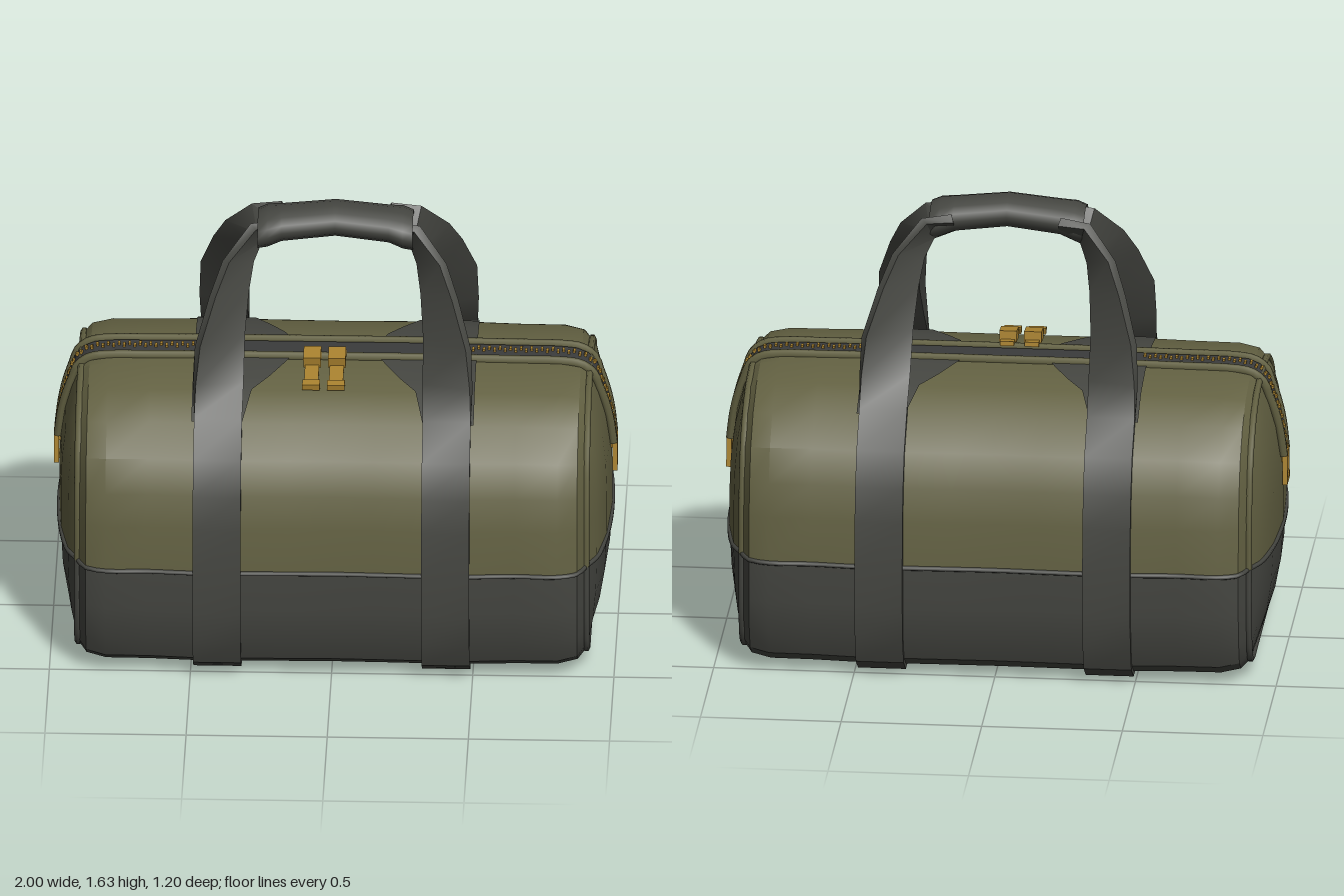
import * as THREE from 'three';
import { mergeGeometries, toCreasedNormals } from 'three/addons/utils/BufferGeometryUtils.js';

const V = (x, y, z) => new THREE.Vector3(x, y, z);
const mat = (name, color, side = THREE.FrontSide) => {
  const m = new THREE.MeshStandardMaterial({ color, side });
  m.name = name;
  return m;
};

// Skin over rows of points; faces are turned away from the middle of the bag
function skin(rows, { closed = false, caps = false, crease = 0.5 } = {}) {
  const n = rows[0].length, pts = rows.flat(), tris = [];
  for (let i = 0; i < rows.length - 1; i++) {
    for (let j = 0; j < (closed ? n : n - 1); j++) {
      const a = i * n + j, b = i * n + (j + 1) % n, c = a + n, d = b + n;
      tris.push([a, b, d], [a, d, c]);
    }
  }
  if (caps) {
    const last = (rows.length - 1) * n;
    for (let j = 1; j < n - 1; j++) tris.push([0, j + 1, j], [last, last + j, last + j + 1]);
  }
  const mid = V(0, 0.5, 0);
  const rel = pts.map((p) => p.clone().sub(mid));
  const volume = tris.reduce((s, [a, b, c]) => s + rel[a].dot(rel[b].clone().cross(rel[c])), 0);
  const index = tris.flatMap(([a, b, c]) => (volume < 0 ? [a, c, b] : [a, b, c]));
  const g = new THREE.BufferGeometry().setFromPoints(pts);
  g.setIndex(index);
  return toCreasedNormals(g, crease);
}

// Half cross-section of the bag [half width, height], bottom to top
const profile = [[0, 0.02], [0.3, 0.02], [0.46, 0.025], [0.53, 0.07], [0.565, 0.16], [0.58, 0.28], [0.58, 0.43],
  [0.572, 0.6], [0.55, 0.72], [0.505, 0.84], [0.41, 0.94], [0.28, 1.005], [0.12, 1.03], [0, 1.03]];
const SEAM = 6, TOP = profile.length - 1;

// Stations along the length [x, width scale, height scale]
const half = [[0.15, 0.993, 1], [0.31, 1, 1], [0.5, 1, 1], [0.65, 0.985, 0.997], [0.8, 0.99, 0.993], [0.87, 0.95, 0.97], [0.9, 0.85, 0.925]];
const stations = [...half.map(([x, w, h]) => [-x, w, h]).reverse(), [0, 0.988, 1], ...half];
const END = half[half.length - 1];
const bodyPoint = ([x, sw, sh], i, side) => V(x, 0.5 + (profile[i][1] - 0.5) * sh, side * profile[i][0] * sw);

// Bulging end panel
const endRow = (i) => ({ y: bodyPoint(END, i, 1).y, w: profile[i][0] * END[1] });
const yLow = endRow(0).y, yHigh = endRow(TOP).y;
function endX(y, u) {
  const t = (y - yLow) / (yHigh - yLow);
  return END[0] + 0.08 * Math.pow(Math.max(0, 1 - u * u), 0.6) * (1 - Math.pow(Math.abs(2 * t - 1), 3));
}

function topY(z) {
  const a = Math.abs(z);
  for (let i = TOP; i > SEAM; i--) {
    const [w0, y0] = profile[i], [w1, y1] = profile[i - 1];
    if (a <= w1) return y0 + (y1 - y0) * (a - w0) / (w1 - w0);
  }
  return profile[SEAM][1];
}

export function createModel() {
  const bag = new THREE.Group();
  bag.name = 'duffelBag';
  const olive = mat('olive canvas', 0x636142, THREE.DoubleSide);
  const dark = mat('dark canvas', 0x454641, THREE.DoubleSide);
  const tapeMat = mat('zipper tape', 0x3b3c3c, THREE.DoubleSide);
  const brass = mat('brass', 0xa9822f);
  const add = (name, geometry, material, parent = bag) => {
    const m = new THREE.Mesh(geometry, material);
    m.name = name;
    parent.add(m);
    return m;
  };
  const tube = (pts, r, closed = false, seg = 80) =>
    new THREE.TubeGeometry(new THREE.CatmullRomCurve3(pts, closed, 'centripetal'), seg, r, 6, closed);
  const range = (a, b) => Array.from({ length: Math.abs(b - a) + 1 }, (_, k) => a + k * Math.sign(b - a));

  // Body walls: dark base and olive top
  const wall = (from, to) => stations.map((s) => [
    ...range(from, to).map((i) => bodyPoint(s, i, 1)),
    ...range(to, from).slice(1).map((i) => bodyPoint(s, i, -1))]);
  add('baseWall', skin(wall(SEAM, 0)), dark);
  add('upperWall', skin(wall(SEAM, TOP)), olive);

  // End panels with their edge piping
  const cols = [-1, -0.85, -0.5, 0, 0.5, 0.85, 1];
  for (const sx of [-1, 1]) {
    const panel = (from, to) => skin(range(from, to).map((i) => {
      const { y, w } = endRow(i);
      return cols.map((u) => V(sx * endX(y, u), y, u * w));
    }));
    add('endPanelBase', panel(1, SEAM), dark);
    add('endPanelUpper', panel(SEAM, TOP - 1), olive);
    const edge = (from, to) => [...range(from, to).map((i) => bodyPoint(END, i, 1)),
      ...range(to, from).slice(1).map((i) => bodyPoint(END, i, -1))].map((p) => V(sx * p.x, p.y, p.z));
    add('pipingBase', tube(edge(SEAM, 0), 0.013), dark);
    add('pipingUpper', tube(edge(SEAM, TOP), 0.013), olive);
  }

  // Seam lip running around the bag
  const across = (sx) => cols.slice(1, -1).map((u) => {
    const { y, w } = endRow(SEAM);
    return V(sx * endX(y, u), y, -sx * u * w);
  });
  const side = (sz) => stations.map((s) => bodyPoint(s, SEAM, sz));
  add('seamLip', tube([...side(1), ...across(1), ...side(-1).reverse(), ...across(-1)], 0.009, true, 160), dark);

  // Dark reinforcement patches on top
  const inner = [[0, 0.13], [0.05, 0.15], [0.12, 0.18], [0.2, 0.23], [0.28, 0.29], [0.41, 0.33]];
  const patchRows = [...inner.slice(1).reverse().map(([z, x]) => [-z, x]), ...inner];
  for (const sx of [-1, 1]) {
    add('topPatch', skin(patchRows.map(([z, x]) => [x, 0.32, 0.5].map((px) => V(sx * px, topY(z) + 0.006, z)))), dark);
  }

  // Straps: [inner edge, outer edge] from grip down to the underside, then mirrored
  const free = [
    [[0.19, 1.51, 0.0], [0.19, 1.57, 0.08]],
    [[0.27, 1.48, 0.02], [0.29, 1.56, 0.09]],
    [[0.3, 1.42, 0.08], [0.385, 1.46, 0.17]],
    [[0.315, 1.33, 0.14], [0.43, 1.36, 0.25]],
    [[0.325, 1.2, 0.22], [0.48, 1.21, 0.345]],
    [[0.322, 1.06, 0.32], [0.49, 1.07, 0.375]],
    [[0.32, 0.955, 0.41], [0.49, 0.955, 0.41]]];
  const wrapped = range(9, 1).map((i) => {
    const [w, y] = profile[i];
    const out = i < 3 ? 0 : 0.005;
    return [[0.32, y - (i < 3 ? 0.004 : 0), w + out], [0.49, y - (i < 3 ? 0.004 : 0), w + out]];
  });
  const frontHalf = [...free, ...wrapped];
  const path = [...frontHalf, ...[...frontHalf].reverse().map((e) => e.map(([x, y, z]) => [x, y, -z]))];
  for (const sx of [-1, 1]) {
    const edges = path.map((e) => e.map(([x, y, z]) => V(sx * x, y, z)));
    const centres = edges.map(([a, b]) => a.clone().add(b).multiplyScalar(0.5));
    const rings = edges.map(([a, b], k) => {
      const run = centres[Math.min(k + 1, centres.length - 1)].clone().sub(centres[Math.max(k - 1, 0)]);
      const n = b.clone().sub(a).cross(run).normalize().multiplyScalar(0.016);
      return [a.clone().add(n), b.clone().add(n), b.clone().sub(n), a.clone().sub(n)];
    });
    add('handleStrap', skin(rings, { closed: true, caps: true, crease: 0.6 }), dark);
  }

  // Wrapped grip joining the handles, flared at both ends
  const gripStations = [[-0.265, 0.6], [-0.275, 1], [-0.24, 1.06], [-0.19, 0.93], [0, 0.9], [0.19, 0.93], [0.24, 1.06], [0.275, 1], [0.265, 0.6]];
  const grip = gripStations.map(([x, s]) => Array.from({ length: 14 }, (_, k) => {
    const a = k / 14 * Math.PI * 2;
    return V(x, 1.572 - 0.6 * x * x + Math.sin(a) * 0.063 * s, 0.03 + Math.cos(a) * 0.1 * s);
  }));
  add('grip', skin(grip, { closed: true, caps: true, crease: 0.9 }), dark);

  // Zipper path over the top and down both ends
  const halfZip = [[0.3, 1.032], [0.65, 1.029], [0.8, 1.027], [0.87, 1.016], [0.91, 0.985],
    ...[0.93, 0.87, 0.8, 0.7].map((y) => [endX(y, 0) + 0.004, y])];
  const zipPts = [...halfZip.map(([x, y]) => V(-x, y, 0)).reverse(), V(0, 1.032, 0), ...halfZip.map(([x, y]) => V(x, y, 0))];
  const zip = new THREE.CatmullRomCurve3(zipPts, false, 'centripetal');
  const zipAt = (t, lift) => {
    const p = zip.getPointAt(t), d = zip.getTangentAt(t);
    return { p: p.add(V(-d.y * lift, d.x * lift, 0)), angle: Math.atan2(d.y, d.x) };
  };
  const ts = Array.from({ length: 61 }, (_, k) => k / 60);
  add('zipperTape', skin(ts.map((t) => {
    const { p } = zipAt(t, 0.01);
    return [V(p.x, p.y, -0.04), V(p.x, p.y, 0.04)];
  })), tapeMat);
  for (const sz of [-1, 1]) {
    add('zipperLip', tube(ts.map((t) => {
      const { p } = zipAt(t, 0.004);
      const spread = p.y > 0.97 ? 0.065 : 0.038 + 0.027 * (p.y - 0.7) / 0.27;
      return V(p.x, p.y, sz * spread);
    }), 0.017, false, 100), olive);
  }
  const teeth = [];
  for (let k = 1; k < 130; k++) {
    const { p, angle } = zipAt(k / 130, 0.013);
    if (Math.abs(p.x) < 0.48) continue;
    teeth.push(new THREE.BoxGeometry(0.009, 0.01, 0.02).rotateZ(angle).translate(p.x, p.y, k % 2 ? 0.007 : -0.007));
  }
  add('zipperTeeth', mergeGeometries(teeth), brass);

  // Pull tabs at the ends of the zipper
  const tab = new THREE.Shape([[-0.032, 0.06], [0.032, 0.06], [0.045, -0.06], [-0.045, -0.06]].map(([x, y]) => new THREE.Vector2(x, y)));
  tab.holes.push(new THREE.Path([[-0.026, -0.015], [-0.03, -0.043], [0.03, -0.043], [0.026, -0.015]].map(([x, y]) => new THREE.Vector2(x, y))));
  const tabGeo = new THREE.ExtrudeGeometry(tab, { depth: 0.018, bevelEnabled: false });
  for (const sx of [-1, 1]) {
    const pull = new THREE.Group();
    pull.name = 'endPull';
    pull.position.set(sx * 0.98, 0.65, 0);
    pull.rotation.y = sx * Math.PI / 2;
    add('pullTab', tabGeo, brass, pull);
    add('pullSlider', new THREE.BoxGeometry(0.05, 0.06, 0.028), brass, pull).position.set(0, 0.05, -0.002);
    bag.add(pull);
  }

  // Twin pulls lying on the front of the top
  for (const x of [-0.08, 0.008]) {
    const pull = new THREE.Group();
    pull.name = 'topPull';
    pull.position.set(x, 1.04, 0.165);
    pull.rotation.x = 0.13;
    add('pullTab', new THREE.BoxGeometry(0.05, 0.016, 0.24), brass, pull);
    add('pullSlider', new THREE.BoxGeometry(0.062, 0.04, 0.075), brass, pull).position.set(0, 0.018, -0.045);
    add('pullEnd', new THREE.BoxGeometry(0.062, 0.022, 0.035), brass, pull).position.set(0, 0, 0.105);
    bag.add(pull);
  }
  return bag;
}
